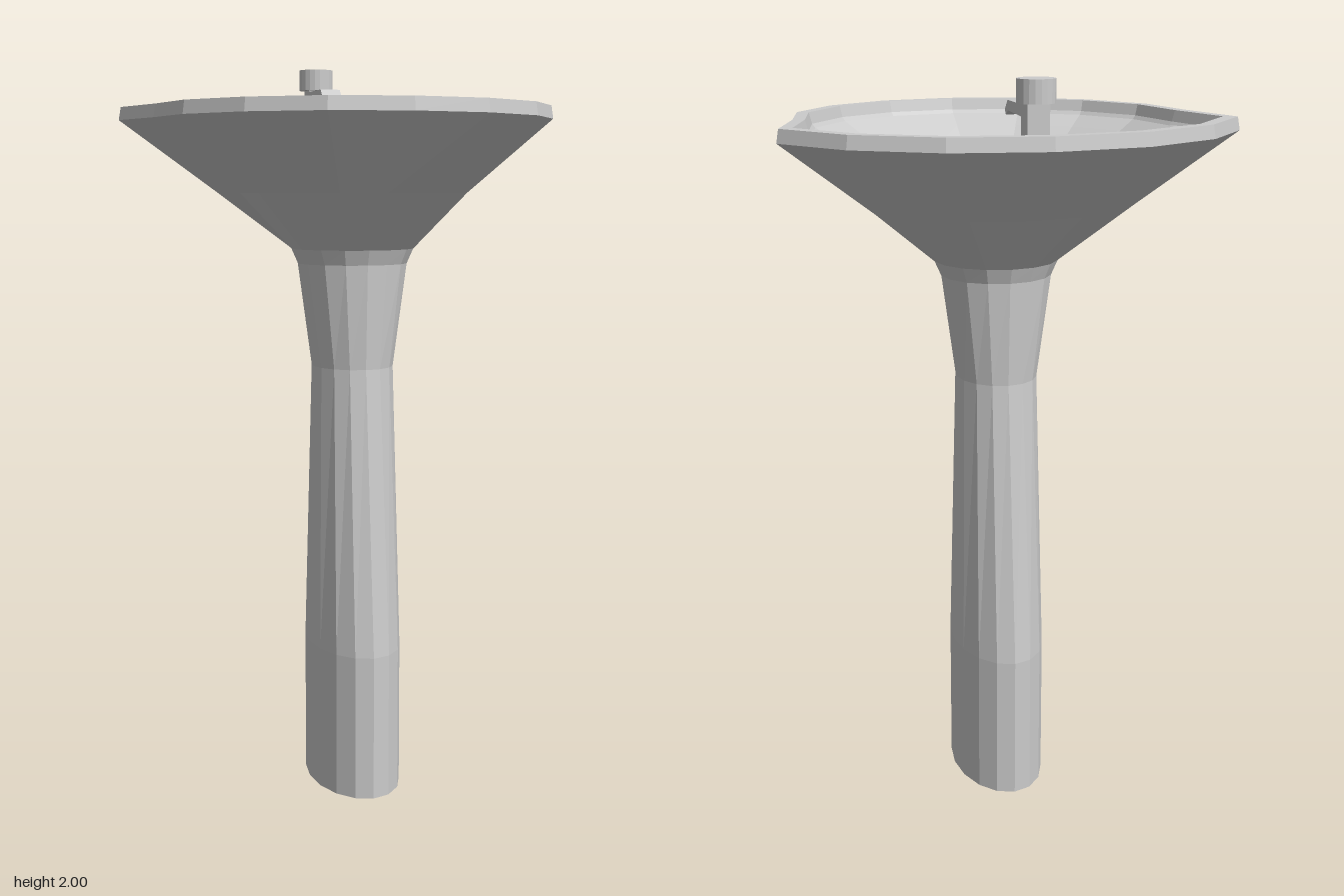
import * as THREE from 'three';

const SIDES = 16;
const material = new THREE.MeshStandardMaterial({ color: 0xcccccc, flatShading: true, side: THREE.DoubleSide });

// Mirror a half outline (front centre to back centre, on the +x side) into a full ring.
const mirror = (half) => [...half, ...half.slice(1, -1).reverse().map(([x, z, y]) => [-x, z, y])];

// Elliptical ring of [x, y, z] points.
const ellipse = (rx, rz, y) => Array.from({ length: SIDES }, (_, i) => {
  const a = (i / SIDES) * Math.PI * 2;
  return [rx * Math.sin(a), y, rz * Math.cos(a)];
});

// Skin a list of rings with quads.
function loft(name, rings) {
  const index = [];
  for (let r = 0; r < rings.length - 1; r++) {
    for (let i = 0; i < SIDES; i++) {
      const j = (i + 1) % SIDES;
      const a = r * SIDES + i, b = r * SIDES + j;
      index.push(a, b, b + SIDES, a, b + SIDES, a + SIDES);
    }
  }
  const geometry = new THREE.BufferGeometry();
  geometry.setAttribute('position', new THREE.Float32BufferAttribute(rings.flat(2), 3));
  geometry.setIndex(index);
  const flat = geometry.toNonIndexed();
  flat.computeVertexNormals();
  return named(name, flat);
}

function named(name, geometry, x = 0, y = 0, z = 0) {
  const mesh = new THREE.Mesh(geometry, material);
  mesh.name = name;
  mesh.position.set(x, y, z);
  return mesh;
}

export function createModel() {
  const group = new THREE.Group();
  group.name = 'pedestalBasin';

  // Pedestal, closed underneath
  group.add(loft('pedestal', [
    ellipse(0, 0, 0),
    ellipse(0.125, 0.213, 0),
    ellipse(0.125, 0.213, 0.4),
    ellipse(0.11, 0.135, 1.18),
    ellipse(0.15, 0.15, 1.46),
    ellipse(0.168, 0.165, 1.5),
  ]));

  // Rim outline: rounded front, flared side corners, rounded back
  const outline = mirror([
    [0, 0.537], [0.205, 0.497], [0.38, 0.38], [0.498, 0.206], [0.538, 0],
    [0.6, -0.208], [0.46, -0.383], [0.25, -0.5], [0, -0.54],
  ]);
  const rim = (s, y) => outline.map(([x, z]) => [x * s, y, z * s]);

  // Underside of the bowl and its flat lip
  group.add(loft('bowlShell', [
    ellipse(0.168, 0.165, 1.5),
    rim(0.595, 1.65).map(([x, y, z]) => [x * 0.97, y, z]),
    rim(1, 1.845),
    rim(0.99, 1.88),
    rim(0.93, 1.88),
  ]));

  // Basin edge: close to the lip in front, cut by a tap deck at the back
  const edge = mirror([
    [0, 0.483, 1.84], [0.185, 0.447, 1.84], [0.342, 0.342, 1.84], [0.448, 0.185, 1.84], [0.484, 0, 1.84],
    [0.49, -0.17, 1.835], [0.37, -0.225, 1.83], [0.2, -0.275, 1.83], [0, -0.29, 1.83],
  ]);
  const isDeck = (i) => i >= 5 && i <= 11;
  const edgeRing = edge.map(([x, z, y]) => [x, y, z]);
  // Steep wall below the deck, gentle slope elsewhere
  const wallRing = edge.map(([x, z], i) => (isDeck(i) ? [x * 0.97, 1.775, z * 0.97] : [x * 0.9, 1.81, z * 0.9]));
  const middleRing = mirror([
    [0, 0.33], [0.126, 0.305], [0.233, 0.233], [0.305, 0.126], [0.33, 0],
    [0.32, -0.135], [0.25, -0.195], [0.13, -0.24], [0, -0.255],
  ]).map(([x, z]) => [x, 1.74, z]);

  group.add(loft('basin', [
    rim(0.93, 1.88),
    rim(0.915, 1.85),
    edgeRing,
    wallRing,
    middleRing,
    ellipse(0.235, 0.22, 1.69),
    ellipse(0.17, 0.17, 1.65),
    ellipse(0, 0, 1.65),
  ]));

  // Drain
  group.add(named('drain', new THREE.CylinderGeometry(0.055, 0.055, 0.012, 20), 0, 1.656, 0));

  // Tap: stem and drooping spout in one side profile, with a round knob on top
  const profile = new THREE.Shape([
    [0.4, 1.825], [0.345, 1.825], [0.345, 1.908], [0.225, 1.912], [0.205, 1.9],
    [0.195, 1.912], [0.22, 1.937], [0.345, 1.937], [0.345, 1.947], [0.4, 1.947],
  ].map(([z, y]) => new THREE.Vector2(z, y)));
  const tap = new THREE.ExtrudeGeometry(profile, { depth: 0.056, bevelEnabled: false });
  tap.translate(0, 0, -0.028);
  tap.rotateY(Math.PI / 2);
  group.add(named('tapSpout', tap));
  group.add(named('tapKnob', new THREE.CylinderGeometry(0.048, 0.048, 0.058, 20), 0, 1.971, -0.375));

  return group;
}
